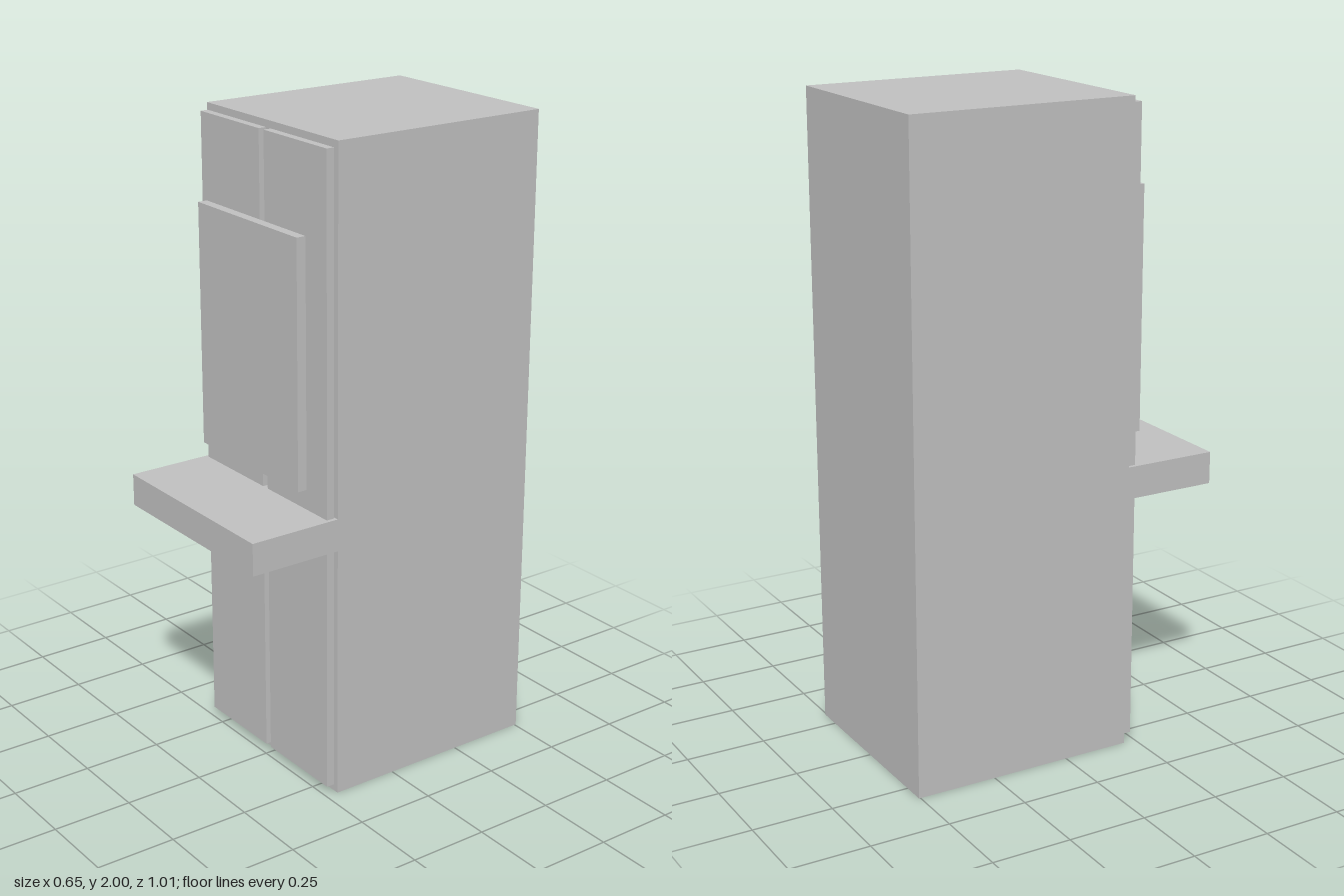
import * as THREE from 'three';

export function createModel() {
  const group = new THREE.Group();
  group.name = 'cabinetWithScreen';
  const grey = new THREE.MeshStandardMaterial({ color: 0xc0c0c0 });
  grey.name = 'light grey';

  // Box given by its lower and upper corners
  function addBox(name, [x0, y0, z0], [x1, y1, z1]) {
    const mesh = new THREE.Mesh(new THREE.BoxGeometry(x1 - x0, y1 - y0, z1 - z0), grey);
    mesh.position.set((x0 + x1) / 2, (y0 + y1) / 2, (z0 + z1) / 2);
    mesh.name = name;
    group.add(mesh);
  }

  // Tall cabinet body
  addBox('cabinet', [-0.323, 0, -0.505], [0.323, 2, 0.21]);

  // Pair of full-height doors, set just off the body
  addBox('leftDoor', [0.012, 0.025, 0.215], [0.311, 1.98, 0.24]);
  addBox('rightDoor', [-0.311, 0.025, 0.215], [-0.012, 1.98, 0.24]);

  // Keyboard shelf across the front
  addBox('shelf', [-0.323, 0.8, 0.21], [0.323, 0.9, 0.505]);

  // Screen and the bracket that holds it
  addBox('screenBracket', [-0.036, 1.025, 0.24], [0.036, 1.178, 0.266]);
  addBox('screen', [-0.248, 0.98, 0.266], [0.248, 1.73, 0.296]);

  return group;
}
